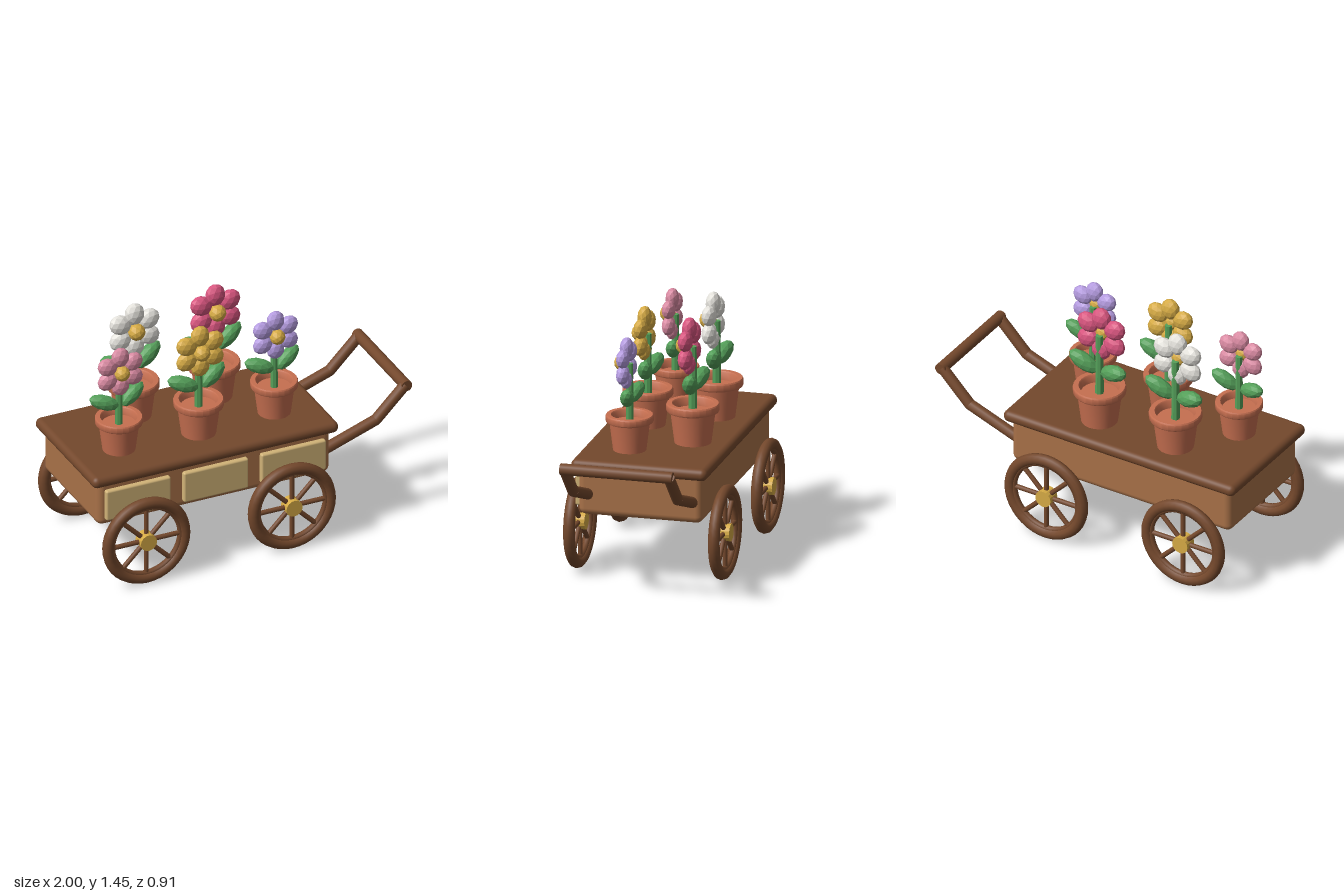
import * as THREE from 'three';
import { toCreasedNormals } from 'three/addons/utils/BufferGeometryUtils.js';
import { RoundedBoxGeometry } from 'three/addons/geometries/RoundedBoxGeometry.js';

const mat = (name, color, flatShading = false) => {
  const m = new THREE.MeshStandardMaterial({ color, flatShading });
  m.name = name;
  return m;
};

export function createModel() {
  const wood = mat('warm wood', 0xa87148);
  const darkWood = mat('dark wood', 0x74482c);
  const cream = mat('cream panel', 0xd2b478);
  const gold = mat('gold', 0xd6ab45, true);
  const green = mat('leaf green', 0x55a05a, true);
  const clay = mat('terracotta', 0xc66f50);
  const pink = mat('soft pink', 0xd98aa2, true);
  const white = mat('white', 0xe4e2dc, true);
  const rose = mat('rose', 0xd8557f, true);
  const lavender = mat('lavender', 0xb49bdf, true);

  const model = new THREE.Group();
  model.name = 'flowerCart';

  const add = (parent, name, geo, material, x = 0, y = 0, z = 0) => {
    const mesh = new THREE.Mesh(geo, material);
    mesh.name = name;
    mesh.position.set(x, y, z);
    parent.add(mesh);
    return mesh;
  };

  // Cylinder running between two points
  const rod = (parent, name, a, b, r, material) => {
    const from = new THREE.Vector3(...a), to = new THREE.Vector3(...b);
    const dir = to.clone().sub(from);
    const mesh = add(parent, name, new THREE.CylinderGeometry(r, r, dir.length(), 14), material);
    mesh.position.copy(from).addScaledVector(dir, 0.5);
    mesh.quaternion.setFromUnitVectors(new THREE.Vector3(0, 1, 0), dir.normalize());
    return mesh;
  };

  // Cart body, deck and front panels
  add(model, 'body', new RoundedBoxGeometry(1.44, 0.3, 0.72, 4, 0.04), wood, -0.24, 0.54, 0);
  add(model, 'deck', new RoundedBoxGeometry(1.52, 0.07, 0.79, 4, 0.034), darkWood, -0.24, 0.685, 0);
  for (const x of [-0.72, -0.24, 0.24]) {
    add(model, 'frontPanel', new RoundedBoxGeometry(0.4, 0.19, 0.05, 2, 0.012), cream, x, 0.527, 0.363);
  }

  // Wheels
  const tyreGeo = new THREE.TorusGeometry(0.237, 0.033, 10, 40);
  const rimGeo = new THREE.TorusGeometry(0.211, 0.018, 8, 40);
  const hubGeo = toCreasedNormals(new THREE.CylinderGeometry(0.05, 0.05, 0.073, 16).rotateX(Math.PI / 2), 0.6);
  for (const x of [-0.69, 0.21]) {
    for (const z of [-0.42, 0.42]) {
      const wheel = new THREE.Group();
      wheel.name = 'wheel';
      wheel.position.set(x, 0.272, z);
      add(wheel, 'tyre', tyreGeo, darkWood);
      add(wheel, 'innerRim', rimGeo, darkWood);
      add(wheel, 'hub', hubGeo, gold);
      for (let i = 0; i < 8; i++) {
        const a = i * Math.PI / 4, c = Math.cos(a), s = Math.sin(a);
        rod(wheel, 'spoke', [c * 0.03, s * 0.03, 0], [c * 0.22, s * 0.22, 0], 0.014, darkWood);
      }
      model.add(wheel);
    }
  }

  // Push handle: two bent arms and a crossbar
  const handle = new THREE.Group();
  handle.name = 'handle';
  model.add(handle);
  const R = 0.032;
  for (const z of [-0.303, 0.303]) {
    const path = [[0.46, 0.51, z], [0.785, 0.625, z], [0.967, 0.807, z]];
    rod(handle, 'handleArm', path[0], path[1], R, darkWood);
    rod(handle, 'handleArm', path[1], path[2], R, darkWood);
    add(handle, 'handleJoint', new THREE.SphereGeometry(R, 14, 10), darkWood, ...path[1]);
  }
  rod(handle, 'crossbar', [0.967, 0.807, -0.325], [0.967, 0.807, 0.325], 0.033, darkWood);

  // Potted flowers
  const potProfile = [[0, 0], [0.104, 0], [0.127, 0.182], [0.145, 0.182], [0.15, 0.19],
    [0.15, 0.222], [0.145, 0.23], [0.118, 0.23], [0.112, 0.222], [0.106, 0.18], [0, 0.18]];
  const potGeo = toCreasedNormals(
    new THREE.LatheGeometry(potProfile.map(([r, y]) => new THREE.Vector2(r, y)), 24), 0.6);
  const ball = new THREE.IcosahedronGeometry(1, 1);
  const stemGeo = new THREE.CylinderGeometry(0.022, 0.025, 0.39, 8);

  const plant = (x, z, size, petalMat) => {
    const g = new THREE.Group();
    g.name = 'pottedFlower';
    g.position.set(x, 0.72, z);
    g.scale.setScalar(size);
    add(g, 'pot', potGeo, clay);
    add(g, 'stem', stemGeo, green, 0, 0.365, 0);
    for (const [side, y, tilt] of [[1, 0.362, 0.58], [-1, 0.345, 0.35]]) {
      const leaf = add(g, 'leaf', ball, green, side * 0.097, y, -0.01);
      leaf.scale.set(0.1, 0.05, 0.045);
      leaf.rotation.set(0, side * 0.25, side * tilt);
    }
    for (let i = 0; i < 6; i++) {
      const a = Math.PI / 2 + i * Math.PI / 3;
      const petal = add(g, 'petal', ball, petalMat, Math.cos(a) * 0.1, 0.56 + Math.sin(a) * 0.1, 0.02);
      petal.scale.set(0.068, 0.06, 0.042);
      petal.rotation.z = a;
    }
    add(g, 'flowerCentre', ball, gold, 0, 0.56, 0.05).scale.setScalar(0.05);
    model.add(g);
  };
  plant(-0.72, 0.125, 0.9, pink);
  plant(-0.24, 0.152, 0.95, gold);
  plant(0.24, 0.125, 0.9, lavender);
  plant(-0.49, -0.178, 1, white);
  plant(0.01, -0.178, 1, rose);

  return model;
}
